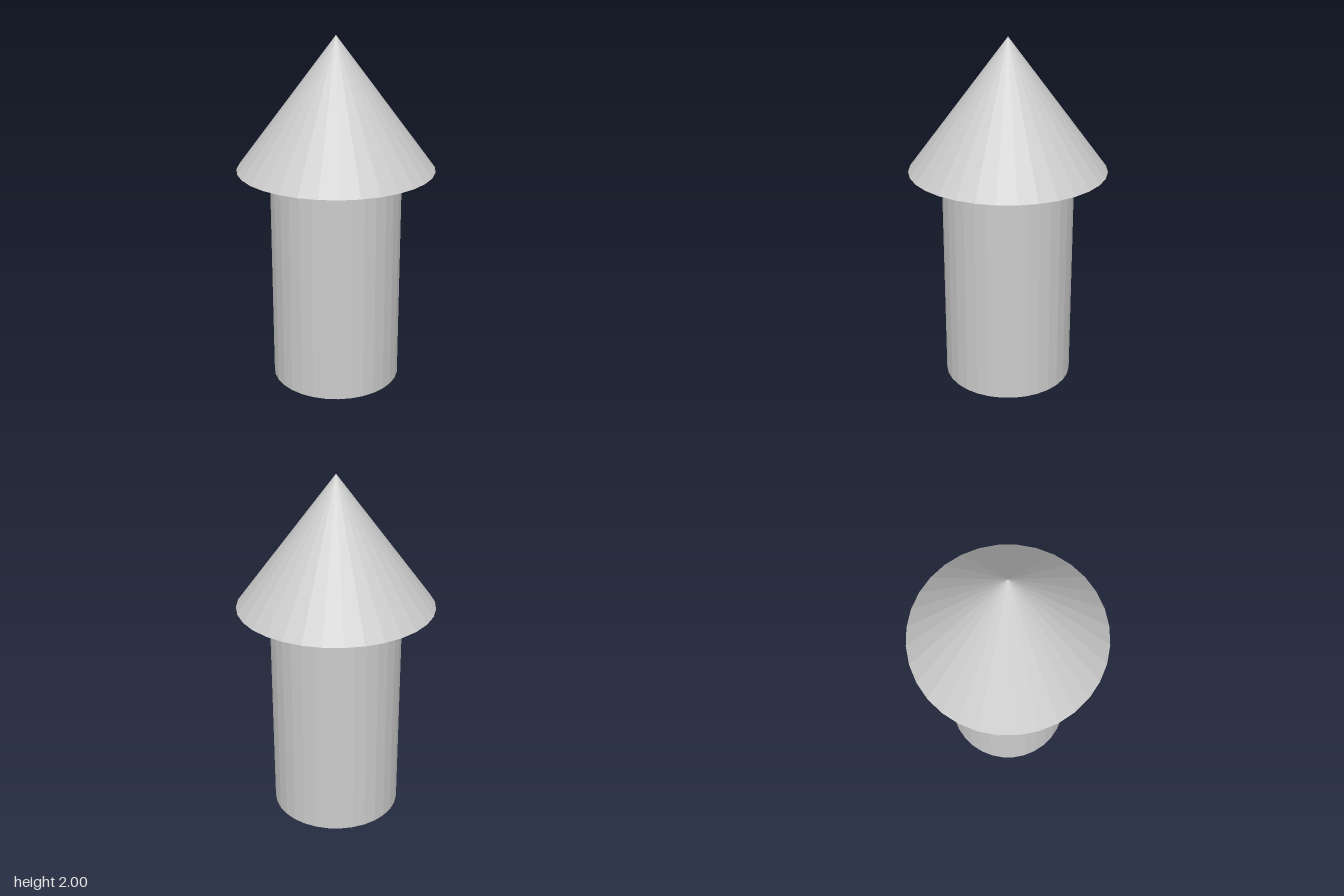
import * as THREE from 'three';

const SIDES = 32;
const SHAFT_RADIUS = 0.37;
const SHAFT_HEIGHT = 1.26;
const ROOF_RADIUS = 0.555;
const ROOF_HEIGHT = 0.74;

export function createModel() {
  const model = new THREE.Group();
  model.name = 'roundTower';
  const material = new THREE.MeshStandardMaterial({ color: 0xcccccc, flatShading: true });

  // Adds a part standing on the given height
  const addPart = (name, geometry, height, baseY) => {
    const mesh = new THREE.Mesh(geometry, material);
    mesh.name = name;
    mesh.position.y = baseY + height / 2;
    model.add(mesh);
  };

  // Cylindrical body with closed ends
  addPart('shaft', new THREE.CylinderGeometry(SHAFT_RADIUS, SHAFT_RADIUS, SHAFT_HEIGHT, SIDES), SHAFT_HEIGHT, 0);

  // Overhanging cone with a flat underside
  addPart('coneRoof', new THREE.ConeGeometry(ROOF_RADIUS, ROOF_HEIGHT, SIDES), ROOF_HEIGHT, SHAFT_HEIGHT);

  return model;
}
